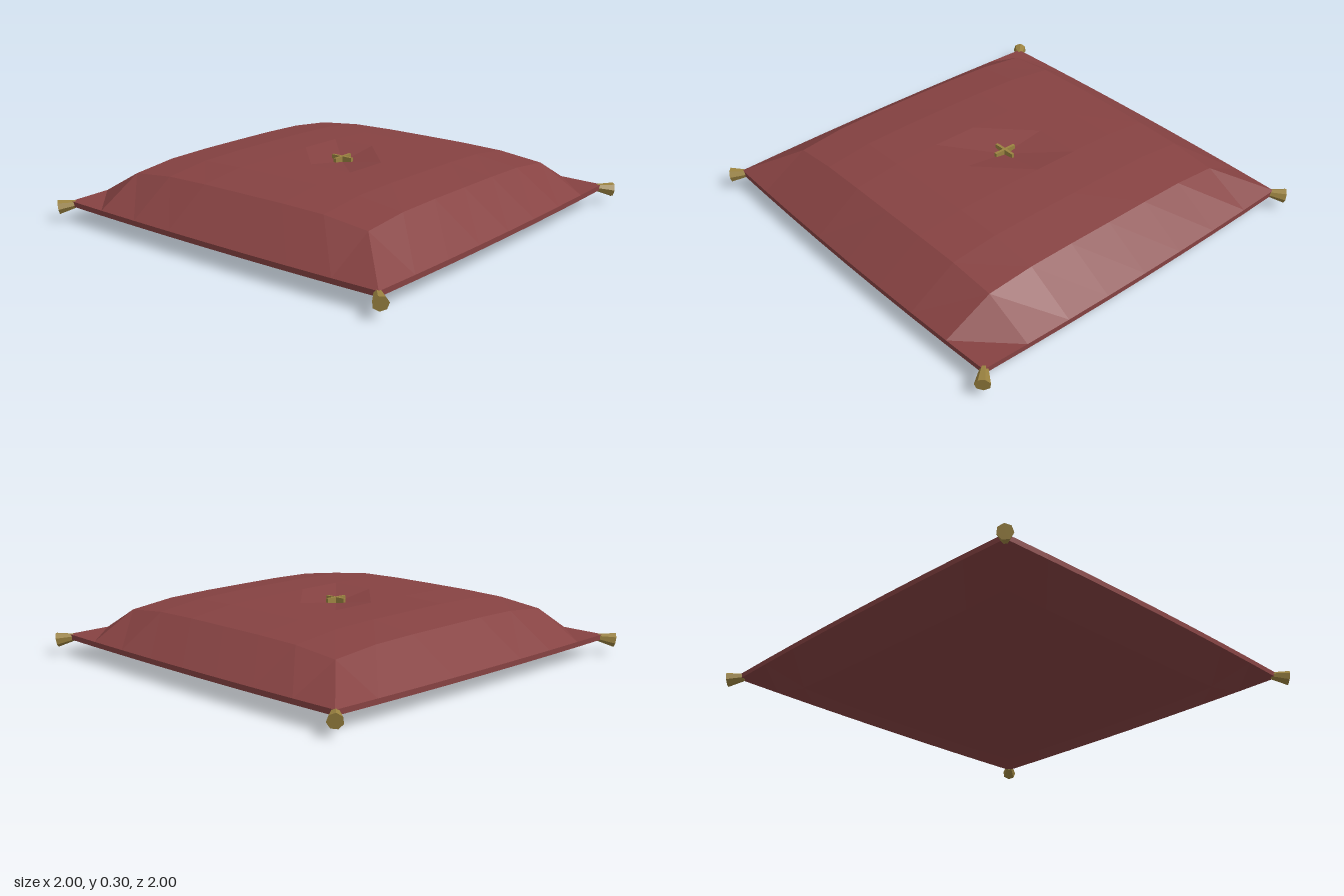
import * as THREE from 'three';

export function createModel() {
  const model = new THREE.Group();
  model.name = 'cushion';
  const cloth = new THREE.MeshStandardMaterial({ name: 'red cloth', color: 0x864242, flatShading: true });
  const gold = new THREE.MeshStandardMaterial({ name: 'old gold', color: 0x9a8240, flatShading: true });

  // Padded body: a gridded box whose top and bottom swell and whose sides form the rim band
  const puff = (t) => Math.pow(Math.max(0, 1 - t ** 4), 0.55);
  const body = new THREE.BoxGeometry(2, 1, 2, 8, 1, 8);
  const pos = body.attributes.position;
  for (let i = 0; i < pos.count; i++) {
    const u = pos.getX(i), v = pos.getZ(i);
    const swell = puff(u) * puff(v);
    const dimple = 0.035 * Math.max(0, 1 - Math.hypot(u, v) * 4.2);
    const y = pos.getY(i) > 0
      ? 0.102 + swell * (0.194 - 0.012 * u + 0.006 * v) - dimple
      : 0.077 - 0.073 * swell;
    pos.setXYZ(i, 0.95 * u * (1 - 0.018 * v * v), y, 0.95 * v * (1 - 0.018 * u * u));
  }
  body.computeVertexNormals();
  const cushion = new THREE.Mesh(body, cloth);
  cushion.name = 'cushionBody';
  model.add(cushion);

  // Flared tassel at each corner, drooping slightly outwards
  const up = new THREE.Vector3(0, 1, 0);
  for (const sx of [-1, 1]) {
    for (const sz of [-1, 1]) {
      const inner = new THREE.Vector3(sx * 0.915, 0.087, sz * 0.915);
      const outer = new THREE.Vector3(sx * 0.974, 0.074, sz * 0.974);
      const axis = outer.clone().sub(inner);
      const tassel = new THREE.Mesh(new THREE.CylinderGeometry(0.036, 0.018, axis.length(), 7), gold);
      tassel.position.copy(inner).add(outer).multiplyScalar(0.5);
      tassel.quaternion.setFromUnitVectors(up, axis.normalize());
      tassel.name = 'cornerTassel';
      model.add(tassel);
    }
  }

  // Crossed stitches in the central dimple
  for (const turn of [0, Math.PI / 2]) {
    const stitch = new THREE.Mesh(new THREE.BoxGeometry(0.12, 0.03, 0.014), gold);
    stitch.position.y = 0.275;
    stitch.rotation.y = turn;
    stitch.name = 'centreStitch';
    model.add(stitch);
  }
  return model;
}
